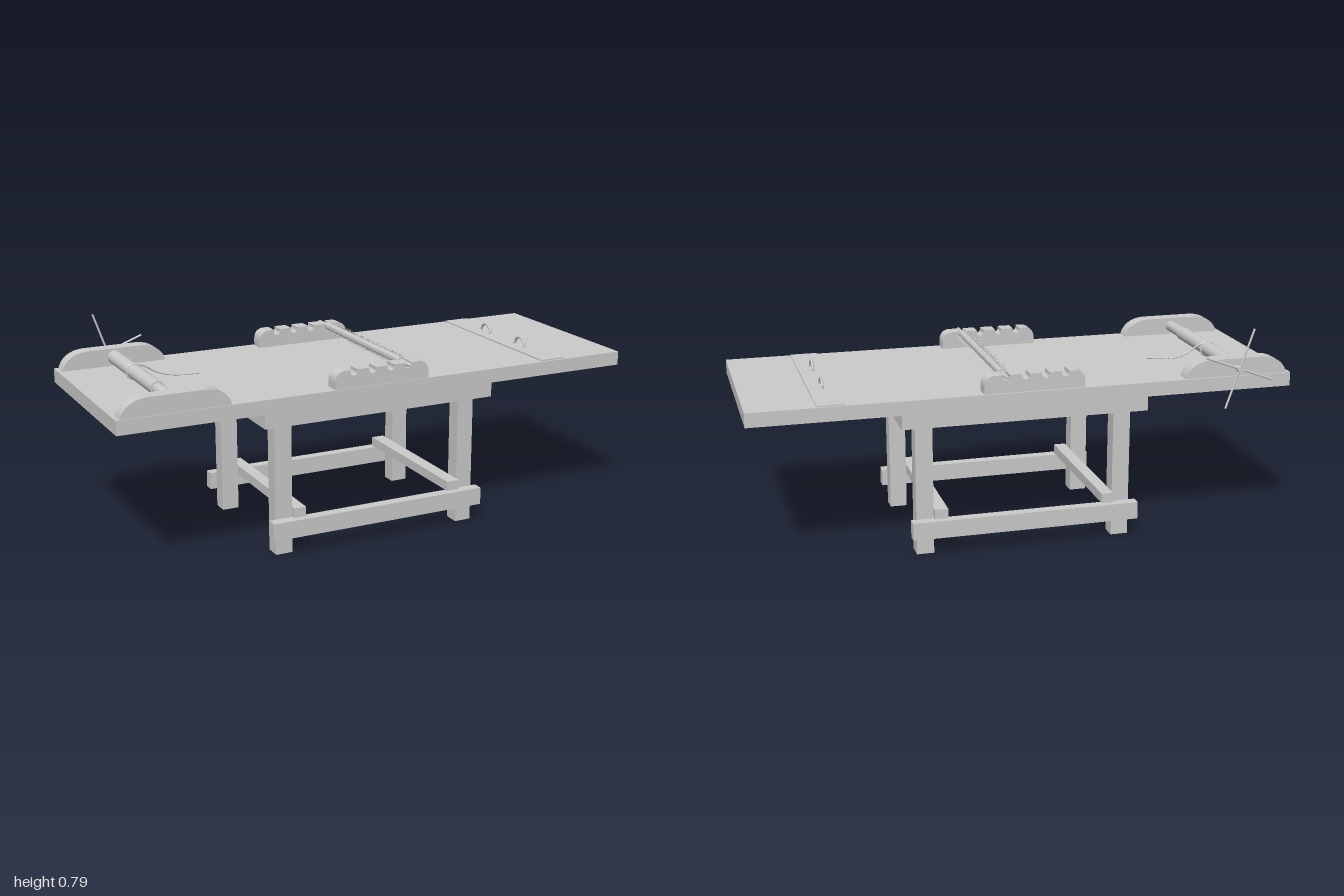
import * as THREE from 'three';
import { mergeGeometries } from 'three/addons/utils/BufferGeometryUtils.js';

const TOP = 0.607; // height of the table surface

export function createModel() {
  const model = new THREE.Group();
  const mat = new THREE.MeshStandardMaterial({ color: 0xcccccc });

  const add = (name, geo) => {
    const mesh = new THREE.Mesh(geo, mat);
    mesh.name = name;
    model.add(mesh);
    return mesh;
  };
  // Box given by its limits on each axis
  const box = (name, x0, x1, y0, y1, z0, z1) =>
    add(name, new THREE.BoxGeometry(x1 - x0, y1 - y0, z1 - z0)
      .translate((x0 + x1) / 2, (y0 + y1) / 2, (z0 + z1) / 2));
  // Cylinder along z
  const rod = (name, r, x, y, z0, z1, sides = 24) =>
    add(name, new THREE.CylinderGeometry(r, r, z1 - z0, sides)
      .rotateX(Math.PI / 2).translate(x, y, (z0 + z1) / 2));
  // Upright profile in x/y, given thickness along z
  const slab = (name, shape, z0, z1) =>
    add(name, new THREE.ExtrudeGeometry(shape, { depth: z1 - z0, bevelEnabled: false, curveSegments: 10 })
      .translate(0, 0, z0));

  // Table top, under-slab and strap plate
  box('tableTop', -1, 1, 0.555, TOP, -0.352, 0.37);
  box('underSlab', -0.458, 0.455, 0.49, 0.555, -0.313, 0.334);
  box('hookPlate', 0.655, 0.755, TOP, 0.612, -0.345, 0.362);

  // Legs, with long rails outside and cross rails inside
  for (const [x0, x1] of [[-0.405, -0.34], [0.338, 0.402]])
    for (const [z0, z1] of [[0.232, 0.292], [-0.273, -0.213]])
      box('leg', x0, x1, 0, 0.49, z0, z1);
  box('longRail', -0.43, 0.422, 0.07, 0.135, 0.292, 0.333);
  box('longRail', -0.43, 0.422, 0.07, 0.135, -0.312, -0.273);
  box('crossRail', -0.34, -0.295, 0.137, 0.173, -0.292, 0.312);
  box('crossRail', 0.288, 0.338, 0.137, 0.173, -0.292, 0.312);

  // Roller cheeks with long rounded ends
  const cheek = new THREE.Shape();
  cheek.moveTo(-0.985, TOP);
  cheek.bezierCurveTo(-0.975, 0.645, -0.94, 0.672, -0.885, 0.672);
  cheek.lineTo(-0.69, 0.672);
  cheek.bezierCurveTo(-0.635, 0.672, -0.6, 0.645, -0.59, TOP);
  cheek.closePath();

  // Notched bearing blocks
  const notches = [-0.132, -0.059, 0.014, 0.085];
  const block = new THREE.Shape();
  block.moveTo(0.166, TOP);
  block.lineTo(0.166, 0.634);
  block.quadraticCurveTo(0.163, 0.672, 0.125, 0.672);
  for (const x of [...notches].reverse()) {
    block.lineTo(x + 0.013, 0.672);
    block.lineTo(x + 0.013, 0.664);
    block.absarc(x, 0.664, 0.013, 0, Math.PI, true);
    block.lineTo(x - 0.013, 0.672);
  }
  block.lineTo(-0.165, 0.672);
  block.quadraticCurveTo(-0.202, 0.672, -0.205, 0.634);
  block.lineTo(-0.205, TOP);
  block.closePath();

  for (const [z0, z1] of [[0.312, 0.367], [-0.346, -0.291]]) {
    slab('rollerCheek', cheek, z0, z1);
    slab('notchedBlock', block, z0, z1);
  }

  // Winding roller, stepped, with axle
  const wx = -0.787, wy = 0.64;
  rod('windingRoller', 0.026, wx, wy, -0.291, 0.18);
  rod('windingRollerEnd', 0.021, wx, wy, 0.18, 0.312);
  rod('axle', 0.008, wx, wy, -0.385, -0.291, 16);
  rod('hub', 0.013, wx, wy, -0.388, -0.371, 16);

  // Crossed turning bars behind the cheek
  for (const [angle, length] of [[109, 0.31], [20.5, 0.284]]) {
    const bar = add('turningBar', new THREE.CylinderGeometry(0.004, 0.004, length, 10));
    bar.position.set(wx, wy, -0.375);
    bar.rotation.z = THREE.MathUtils.degToRad(angle - 90);
  }

  // Rope: one coil on the roller and a loose tail on the table
  const coil = add('ropeCoil', new THREE.TorusGeometry(0.027, 0.004, 8, 28));
  coil.position.set(wx, wy, -0.07);
  const tail = new THREE.CatmullRomCurve3([
    [wx, 0.668, -0.07], [-0.75, 0.656, -0.07], [-0.7, 0.626, -0.071],
    [-0.65, 0.612, -0.066], [-0.6, 0.611, -0.048], [-0.55, 0.611, -0.043],
  ].map(p => new THREE.Vector3(...p)));
  add('ropeTail', new THREE.TubeGeometry(tail, 30, 0.003, 7));

  // Spiked roller resting in the last notch
  const sx = 0.085, sy = 0.664;
  rod('spikedRoller', 0.0145, sx, sy, -0.285, 0.31);
  rod('spikedRollerShaft', 0.008, sx, sy, -0.361, 0.386, 16);
  const spikes = [];
  const rows = 44, around = 6;
  for (let i = 0; i < rows; i++)
    for (let k = 0; k < around; k++)
      spikes.push(new THREE.ConeGeometry(0.0022, 0.017, 5)
        .translate(0, 0.0205, 0)
        .rotateZ((k / around) * Math.PI * 2)
        .translate(sx, sy, -0.274 + (i / (rows - 1)) * 0.573));
  add('spikes', mergeGeometries(spikes));

  // Arched strap hooks on the plate
  for (const z of [0.138, -0.107]) {
    const hook = add('strapHook', new THREE.TorusGeometry(0.034, 0.005, 8, 20, Math.PI));
    hook.rotation.y = Math.PI / 2;
    hook.position.set(0.704, 0.61, z);
  }

  return model;
}
